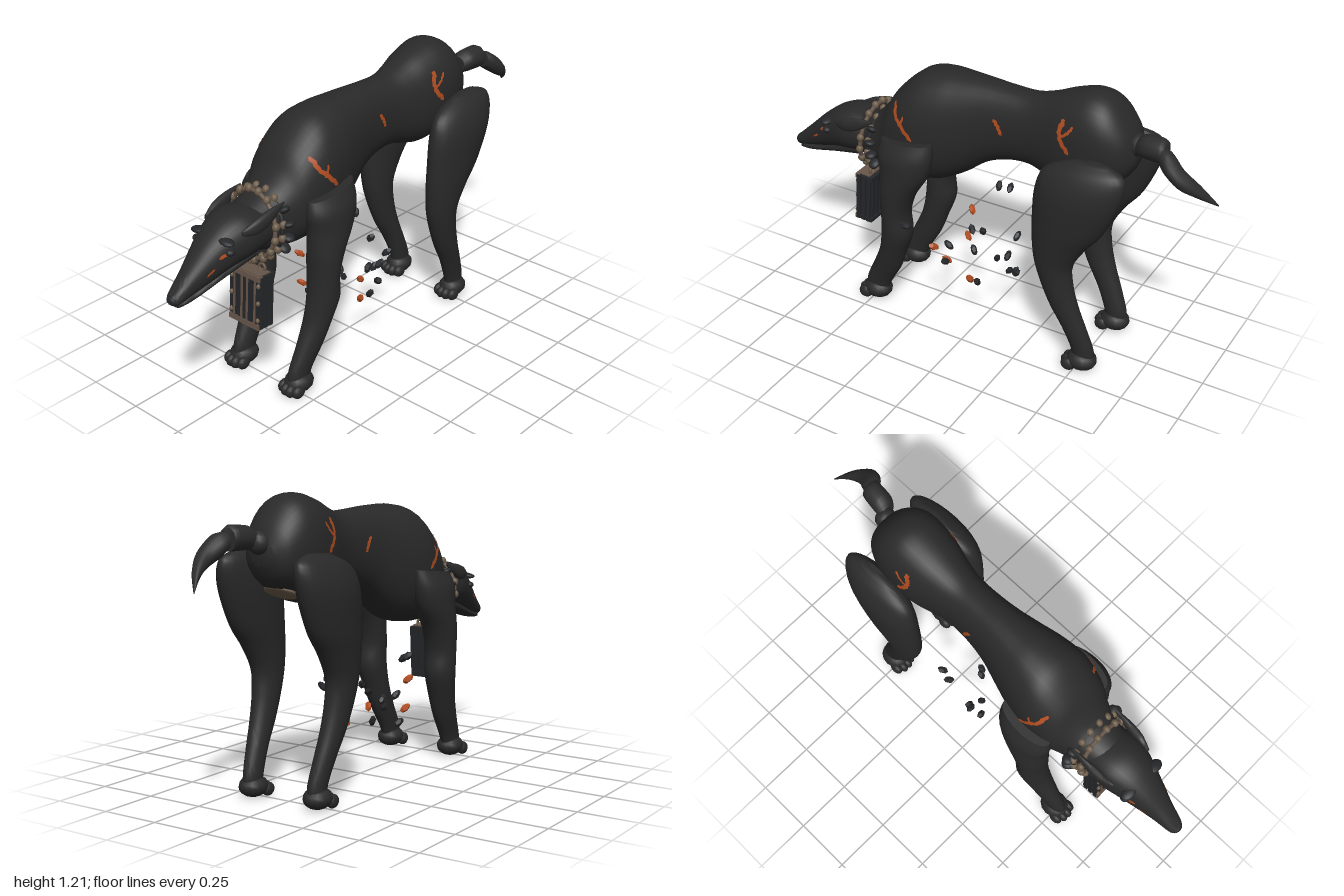
import * as THREE from 'three';
import { toCreasedNormals } from 'three/addons/utils/BufferGeometryUtils.js';

const material = (name, color, side = THREE.FrontSide) => {
  const m = new THREE.MeshStandardMaterial({ color, side });
  m.name = name;
  return m;
};

// Smoothly subdivide a list of keys [x, y, z, rx, r2, tilt]
function dense(keys, steps = 5) {
  const out = [];
  for (let i = 0; i < keys.length - 1; i++) {
    const a = keys[Math.max(i - 1, 0)], b = keys[i], c = keys[i + 1], d = keys[Math.min(i + 2, keys.length - 1)];
    for (let s = 0; s < steps; s++) {
      const t = s / steps;
      out.push(b.map((_, k) => b[k] + 0.5 * t * (c[k] - a[k] + t * (2 * a[k] - 5 * b[k] + 4 * c[k] - d[k] + t * (3 * (b[k] - c[k]) + d[k] - a[k])))));
    }
  }
  out.push(keys[keys.length - 1]);
  return out;
}

// Slightly squared ellipse used for the upright rings
const SQUARE = 0.88;
const squared = (v) => Math.sign(v) * Math.abs(v) ** SQUARE;

// Closed skin over rings; they lie in the xy plane or in the xz plane with a fore-and-aft tilt
function loft(rings, plane, sides = 28) {
  const pos = [], idx = [];
  for (const [x, y, z, rx, r2, tilt] of rings) {
    for (let j = 0; j < sides; j++) {
      const a = (j / sides) * Math.PI * 2, u = Math.cos(a), v = Math.sin(a);
      if (plane === 'xy') pos.push(x + squared(u) * rx, y + squared(v) * r2, z);
      else pos.push(x + u * rx, y + v * r2 * tilt, z + v * r2);
    }
  }
  const last = rings.length - 1, first = pos.length / 3;
  pos.push(...rings[0].slice(0, 3), ...rings[last].slice(0, 3));
  for (let j = 0; j < sides; j++) {
    const k = (j + 1) % sides;
    for (let i = 0; i < last; i++) {
      const a = i * sides + j, b = i * sides + k, c = a + sides, d = b + sides;
      idx.push(a, b, c, b, d, c);
    }
    idx.push(first, k, j, first + 1, last * sides + j, last * sides + k);
  }
  // Turn the faces outwards when the enclosed volume is negative
  const p = (i) => new THREE.Vector3().fromArray(pos, i * 3);
  let volume = 0;
  for (let i = 0; i < idx.length; i += 3) volume += p(idx[i]).dot(p(idx[i + 1]).cross(p(idx[i + 2])));
  if (volume < 0) idx.reverse();
  const g = new THREE.BufferGeometry();
  g.setAttribute('position', new THREE.Float32BufferAttribute(pos, 3));
  g.setIndex(idx);
  return toCreasedNormals(g, 0.8);
}

// [z, top, bottom, halfWidth] to a ring key
const trunk = ([z, top, bottom, w]) => [0, (top + bottom) / 2, z, w, (top - bottom) / 2];
// [y, x, z, rx, rz, tilt] to a ring key on one side
const limb = (s) => ([y, x, z, rx, rz, tilt = 0]) => [s * x, y, z, rx, rz, tilt];

export function createModel() {
  const model = new THREE.Group();
  const hide = material('charcoal hide', 0x292929);
  const dark = material('dark stone', 0x25272a);
  const horn = material('grey horn', 0x2c2c2c);
  const brown = material('brown metal', 0x67564a);
  const tan = material('tan bead', 0x6c5c4a);
  const ember = material('ember orange', 0xb04c20, THREE.DoubleSide);

  const add = (name, geometry, mat, parent = model) => {
    const m = new THREE.Mesh(geometry, mat);
    m.name = name;
    parent.add(m);
    return m;
  };
  const ball = (name, mat, p, r, parent = model) => {
    const m = add(name, new THREE.SphereGeometry(1, 14, 10), mat, parent);
    m.position.set(...p);
    m.scale.set(...r);
    return m;
  };
  const box = (name, mat, p, size, parent) => {
    const m = add(name, new THREE.BoxGeometry(...size), mat, parent);
    m.position.set(...p);
    return m;
  };

  // Body and neck
  const bodyRings = dense([
    [0.62, 0.835, 0.65, 0.095], [0.52, 0.875, 0.625, 0.117], [0.46, 0.935, 0.615, 0.136], [0.4, 1.02, 0.612, 0.163],
    [0.3, 1.105, 0.615, 0.178], [0.2, 1.13, 0.635, 0.165], [0.1, 1.132, 0.69, 0.138], [0, 1.13, 0.765, 0.112],
    [-0.1, 1.125, 0.805, 0.1], [-0.2, 1.125, 0.815, 0.1], [-0.28, 1.147, 0.795, 0.115], [-0.37, 1.185, 0.775, 0.138],
    [-0.47, 1.21, 0.79, 0.148], [-0.55, 1.185, 0.83, 0.138], [-0.62, 1.105, 0.88, 0.103], [-0.655, 1.03, 0.94, 0.05],
  ].map(trunk));
  add('body', loft(bodyRings, 'xy', 36), hide);
  ball('rumpPatch', tan, [0, 0.832, -0.535], [0.076, 0.016, 0.062]).rotation.x = 0.48;

  // Head and jaw
  const headRings = dense([
    [0.56, 0.835, 0.66, 0.11], [0.66, 0.845, 0.645, 0.117], [0.74, 0.822, 0.63, 0.099], [0.82, 0.765, 0.605, 0.074],
    [0.9, 0.69, 0.583, 0.05], [0.97, 0.625, 0.566, 0.034], [0.99, 0.608, 0.57, 0.022],
  ].map(trunk));
  add('head', loft(headRings, 'xy'), hide);
  add('jaw', loft(dense([
    [0.62, 0.7, 0.63, 0.08], [0.76, 0.645, 0.598, 0.058], [0.89, 0.595, 0.563, 0.038], [0.96, 0.578, 0.553, 0.026], [0.975, 0.575, 0.558, 0.015],
  ].map(trunk)), 'xy', 20), hide);
  ball('nose', dark, [0, 0.588, 0.982], [0.026, 0.02, 0.018]);

  // Strip of glowing crack laid on a lofted side; path points are [z, y]
  const crack = (name, rings, path, width, s) => {
    const surface = (z, y) => {
      let i = 0;
      while (i < rings.length - 2 && (rings[i][2] - z) * (rings[i + 1][2] - z) > 0) i++;
      const a = rings[i], b = rings[i + 1], t = (z - a[2]) / (b[2] - a[2]);
      const [, cy, , w, h] = a.map((v, k) => v + (b[k] - v) * t);
      return w * Math.max(0, 1 - Math.abs((y - cy) / h) ** (2 / SQUARE)) ** (SQUARE / 2) + 0.003;
    };
    const pos = [], idx = [], n = (path.length - 1) * 5;
    for (let i = 0; i <= n; i++) {
      const k = Math.min(Math.floor(i / 5), path.length - 2), t = i / 5 - k;
      const [z0, y0] = path[k], [z1, y1] = path[k + 1], l = Math.hypot(z1 - z0, y1 - y0);
      const half = width * (i === 0 || i === n ? 0.2 : 0.5), jag = width * 0.15 * Math.sin(i * 2.3);
      for (const e of [-half + jag, half + jag]) {
        const z = z0 + (z1 - z0) * t - ((y1 - y0) / l) * e, y = y0 + (y1 - y0) * t + ((z1 - z0) / l) * e;
        pos.push(s * surface(z, y), y, z);
      }
      if (i < n) idx.push(2 * i, 2 * i + 1, 2 * i + 2, 2 * i + 1, 2 * i + 3, 2 * i + 2);
    }
    const g = new THREE.BufferGeometry();
    g.setAttribute('position', new THREE.Float32BufferAttribute(pos, 3));
    g.setIndex(idx);
    g.computeVertexNormals();
    add(name, g, ember);
  };

  const paw = (name, s, z) => {
    const g = new THREE.Group();
    g.name = name;
    g.position.set(s * 0.157, 0, z);
    model.add(g);
    ball('pawPad', hide, [0, 0.047, -0.01], [0.057, 0.044, 0.065], g);
    for (const k of [-1.5, -0.5, 0.5, 1.5]) {
      ball('toe', hide, [k * 0.026, 0.03, 0.052 - Math.abs(k) * 0.012], [0.02, 0.028, 0.032], g);
    }
  };

  for (const s of [1, -1]) {
    // Legs and paws
    add('frontLeg', loft(dense([
      [0.845, 0.165, 0.3, 0.048, 0.122, -0.12], [0.78, 0.175, 0.305, 0.07, 0.127, -0.05], [0.7, 0.177, 0.312, 0.075, 0.11],
      [0.6, 0.18, 0.343, 0.074, 0.08], [0.5, 0.178, 0.357, 0.07, 0.063], [0.4, 0.177, 0.357, 0.066, 0.07],
      [0.3, 0.17, 0.383, 0.057, 0.062], [0.2, 0.163, 0.423, 0.046, 0.065], [0.1, 0.157, 0.475, 0.036, 0.06], [0.04, 0.157, 0.49, 0.035, 0.05],
    ].map(limb(s))), 'xz'), hide);
    add('hindLeg', loft(dense([
      [0.99, 0.168, -0.535, 0.02, 0.07, -0.05], [0.945, 0.178, -0.512, 0.058, 0.165, -0.08], [0.85, 0.187, -0.49, 0.08, 0.18, -0.04],
      [0.7, 0.187, -0.452, 0.075, 0.152], [0.6, 0.185, -0.415, 0.066, 0.115], [0.5, 0.181, -0.394, 0.058, 0.083],
      [0.4, 0.177, -0.41, 0.052, 0.07], [0.3, 0.172, -0.443, 0.046, 0.062], [0.2, 0.165, -0.488, 0.04, 0.053],
      [0.1, 0.157, -0.525, 0.035, 0.05], [0.04, 0.157, -0.53, 0.034, 0.045],
    ].map(limb(s))), 'xz'), hide);
    paw('frontPaw', s, 0.495);
    paw('hindPaw', s, -0.515);

    // Face details
    const brow = ball('brow', dark, [s * 0.075, 0.773, 0.768], [0.036, 0.012, 0.025]);
    brow.rotation.z = -s * 0.12;
    ball('eye', dark, [s * 0.088, 0.732, 0.765], [0.02, 0.014, 0.02]);
    add('ear', loft(dense([
      [s * 0.1, 0.79, 0.71, 0.006, 0.01], [s * 0.112, 0.8, 0.65, 0.016, 0.03], [s * 0.116, 0.82, 0.58, 0.014, 0.028], [s * 0.118, 0.85, 0.505, 0.003, 0.004],
    ]), 'xy', 12), horn);
    crack('faceCrack', headRings, [[0.755, 0.737], [0.81, 0.718]], 0.013, s);
    crack('muzzleCrack', headRings, [[0.83, 0.682], [0.862, 0.66]], 0.008, s);

    // Body cracks
    crack('shoulderCrack', bodyRings, [[0.372, 0.995], [0.355, 0.945], [0.32, 0.91], [0.27, 0.858]], 0.018, s);
    crack('shoulderCrackBranch', bodyRings, [[0.325, 0.915], [0.312, 0.955]], 0.01, s);
    crack('flankCrack', bodyRings, [[-0.07, 1.018], [-0.09, 0.99], [-0.105, 0.955]], 0.016, s);
    crack('hipCrack', bodyRings, [[-0.39, 1.115], [-0.375, 1.07], [-0.385, 1.03], [-0.425, 0.985]], 0.02, s);
    crack('hipCrackBranch', bodyRings, [[-0.435, 1.1], [-0.415, 1.07], [-0.385, 1.045]], 0.011, s);

    // Dark collar tufts
    for (const a of [-0.6, -0.2, 0.2, 0.6]) {
      const tuft = ball('collarTuft', dark, [s * 0.14 * Math.cos(a), 0.735 + 0.145 * Math.sin(a), 0.505], [0.026, 0.014, 0.025]);
      tuft.rotation.z = s * a;
    }
  }

  // Beaded collar
  const collar = new THREE.Group();
  collar.name = 'collar';
  collar.position.set(0, 0.738, 0.545);
  collar.rotation.x = -0.12;
  model.add(collar);
  for (const z of [-0.02, 0.02]) {
    const band = add('collarBand', new THREE.TorusGeometry(0.13, 0.009, 8, 40), z > 0 ? brown : dark, collar);
    band.scale.set(0.97, 1.07, 1);
    band.position.z = z;
    for (let i = 0; i < 16; i++) {
      const a = ((i + 0.5) / 16) * Math.PI * 2;
      ball('bead', tan, [0.13 * Math.cos(a), 0.144 * Math.sin(a), z], [0.015, 0.018, 0.016], collar);
    }
  }

  // Hanging cage: dark slatted box with a brown frame on its face
  const cage = new THREE.Group();
  cage.name = 'cage';
  cage.position.set(0.01, 0.44, 0.59);
  cage.rotation.x = -0.07;
  model.add(cage);
  for (const y of [-0.105, 0.105]) {
    box('cagePlate', dark, [0, y, -0.01], [0.16, 0.02, 0.065], cage);
    box('cageRail', brown, [0, y, 0.032], [0.164, 0.022, 0.02], cage);
  }
  box('cageCap', brown, [0, 0.117, 0.005], [0.15, 0.006, 0.06], cage);
  box('cageCore', dark, [0, 0, 0], [0.12, 0.2, 0.05], cage);
  for (const z of [-0.032, 0.032]) {
    for (let i = 0; i < 5; i++) box('cageSlat', dark, [-0.056 + i * 0.028, 0, z], [0.02, 0.2, 0.012], cage);
  }
  for (const x of [-0.056, -0.016, 0.014, 0.056]) box('cageRod', brown, [x, 0, 0.037], [0.009, 0.2, 0.008], cage);
  for (const s of [-1, 1]) {
    for (const z of [-0.026, 0, 0.026]) box('cageSide', dark, [s * 0.079, 0, z], [0.012, 0.226, 0.018], cage);
    for (const y of [-0.075, 0, 0.075]) ball('cageBead', tan, [s * 0.073, y, 0.037], [0.009, 0.011, 0.009], cage);
    const link = add('cageLink', new THREE.TorusGeometry(0.016, 0.006, 6, 14), tan, cage);
    link.position.set(s * 0.04, 0.13, -0.015);
  }

  // Tail
  ball('tailRoot', horn, [0.015, 1.03, -0.655], [0.045, 0.045, 0.04]);
  add('tailSegment', loft(dense([
    [0.035, 1.04, -0.665, 0.036, 0.036], [0.045, 1.052, -0.7, 0.046, 0.047], [0.053, 1.055, -0.765, 0.044, 0.05], [0.055, 1.05, -0.785, 0.038, 0.045],
  ]), 'xy', 10), horn);
  add('tailHorn', loft(dense([
    [0.075, 1.045, -0.78, 0.036, 0.035], [0.088, 1.025, -0.815, 0.045, 0.044], [0.1, 0.985, -0.87, 0.036, 0.037], [0.078, 0.94, -0.935, 0.022, 0.024], [0.035, 0.878, -1, 0.002, 0.003],
  ]), 'xy', 12), horn);

  // Floating shards leaning outwards: [x, y, z, glowing]
  const up = new THREE.Vector3(0, 1, 0);
  [
    [0.2, 0.395, 0.16, 1], [-0.13, 0.395, 0.17, 1], [0.23, 0.365, 0.085, 0], [-0.085, 0.325, 0.145, 0], [0.02, 0.285, 0.2, 0],
    [-0.11, 0.265, 0.18, 1], [0.075, 0.25, 0.175, 1], [-0.1, 0.207, 0.145, 0], [0.1, 0.21, 0.045, 1], [0.115, 0.22, 0, 0],
    [-0.2, 0.515, 0.02, 0], [-0.19, 0.515, 0.07, 0], [0.1, 0.475, -0.02, 0], [-0.15, 0.315, -0.045, 0], [-0.085, 0.247, -0.035, 0],
    [0.06, 0.29, -0.125, 0], [0.02, 0.257, -0.137, 0], [0.12, 0.38, -0.1, 0], [-0.145, 0.437, -0.205, 0], [-0.15, 0.4, -0.165, 0],
    [0, 0.25, -0.12, 0], [0.22, 0.47, 0.285, 0],
  ].forEach(([x, y, z, hot], i) => {
    const shard = add('shard', toCreasedNormals(new THREE.DodecahedronGeometry(0.023).rotateY(i * 1.3), 0.1), hot ? ember : dark);
    shard.position.set(x, y, z);
    shard.scale.set(0.68, 1.15, 0.6);
    shard.quaternion.setFromUnitVectors(up, new THREE.Vector3(x * 5, 0.7, z * 4).normalize());
  });

  return model;
}
